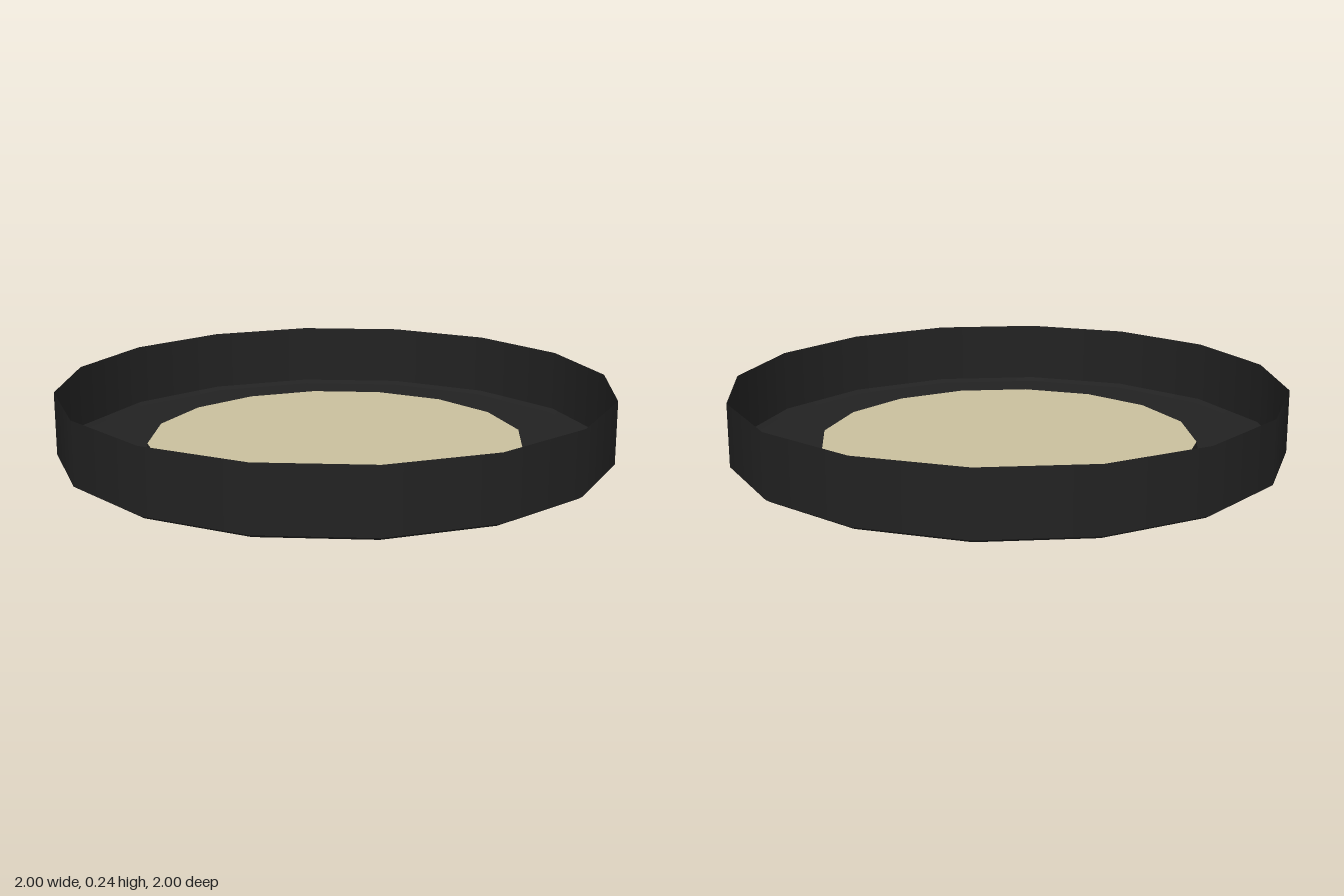
import * as THREE from 'three';

const SIDES = 16;
const START = -0.0873; // turn of the first corner away from +z

export function createModel() {
  const group = new THREE.Group();
  group.name = 'shallowDish';

  const black = new THREE.MeshStandardMaterial({ color: 0x222222, side: THREE.DoubleSide });
  black.name = 'black';
  const tan = new THREE.MeshStandardMaterial({ color: 0xcac09e, side: THREE.DoubleSide });
  tan.name = 'tan';

  // Thin sheet turned around y from a short [radius, height] profile
  function ring(name, profile, material) {
    const points = profile.map(([r, y]) => new THREE.Vector2(r, y));
    const mesh = new THREE.Mesh(new THREE.LatheGeometry(points, SIDES, START), material);
    mesh.name = name;
    group.add(mesh);
  }

  // Separate bands keep the edges between them sharp
  ring('outerWall', [[1.004, 0.012], [1.004, 0.24]], black);
  ring('bottomBevel', [[0.985, 0], [1.004, 0.012]], black);
  ring('floorRing', [[0.692, 0], [0.985, 0]], black);
  ring('centreStep', [[0.684, 0.04], [0.692, 0]], black);

  // Raised centre panel, seen from above and below
  const panel = new THREE.Mesh(new THREE.CircleGeometry(0.684, SIDES, START - Math.PI / 2), tan);
  panel.rotation.x = -Math.PI / 2;
  panel.rotation.z = -2 * START + 2 * START; // corners line up with the step
  panel.position.y = 0.04;
  panel.name = 'centrePanel';
  group.add(panel);

  return group;
}
